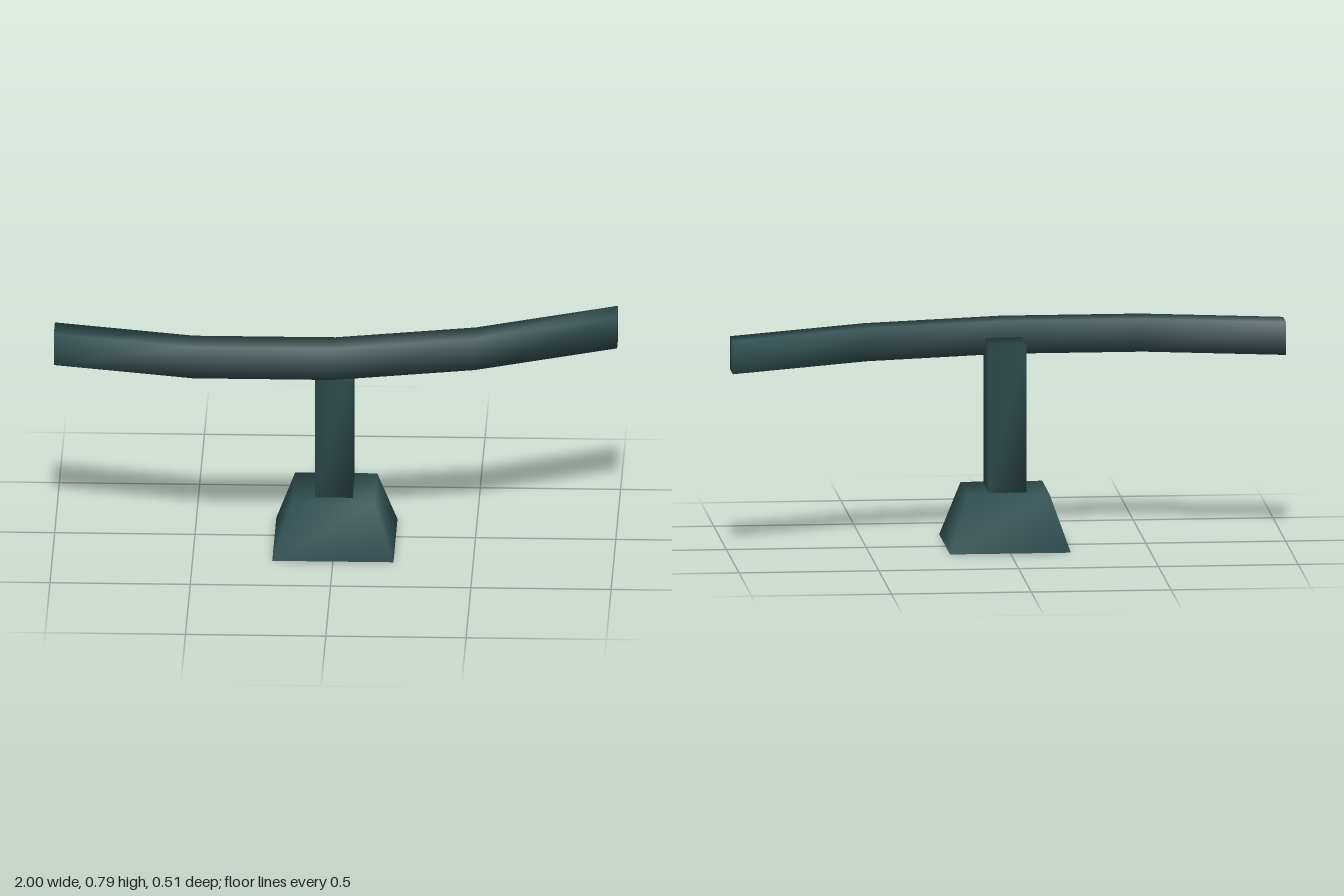
import * as THREE from 'three';
import { mergeVertices } from 'three/addons/utils/BufferGeometryUtils.js';

// Box whose vertices are moved by a rule, with normals shared round its corners
function softBox(w, h, d, segX, move, dropBottom = false) {
  const geo = new THREE.BoxGeometry(w, h, d, segX, 1, 1);
  const pos = geo.attributes.position;
  const v = new THREE.Vector3();
  for (let i = 0; i < pos.count; i++) {
    v.fromBufferAttribute(pos, i);
    if (move) move(v);
    pos.setXYZ(i, v.x, v.y, v.z);
  }
  if (dropBottom) {
    const { start, count } = geo.groups[3];
    const index = Array.from(geo.index.array);
    index.splice(start, count);
    geo.setIndex(index);
  }
  geo.clearGroups();
  geo.deleteAttribute('normal');
  geo.deleteAttribute('uv');
  const merged = mergeVertices(geo, 1e-4);
  merged.computeVertexNormals();
  return merged;
}

export function createModel() {
  const group = new THREE.Group();
  group.name = 'curvedRailOnPost';

  const slate = new THREE.MeshStandardMaterial({ color: 0x2f4f4f, side: THREE.DoubleSide });
  slate.name = 'darkSlate';
  const white = new THREE.MeshStandardMaterial({ color: 0xffffff });
  white.name = 'white';

  const add = (name, geo, mat, x, y, z) => {
    const mesh = new THREE.Mesh(geo, mat);
    mesh.name = name;
    mesh.position.set(x, y, z);
    group.add(mesh);
  };

  // Rail: four straight spans, bent backward toward the ends
  const bend = [0.038, 0.154, 0.154, 0.038, -0.196];
  const rail = softBox(2, 0.118, 0.117, 4, (v) => {
    v.z += bend[Math.round((v.x + 1) * 2)];
  });
  add('rail', rail, slate, 0, 0.735, 0);

  // Post, ending halfway up the rail
  add('post', softBox(0.134, 0.535, 0.2, 1), slate, 0, 0.4675, 0.04);

  // Flared foot, open underneath
  const foot = softBox(0.432, 0.2, 0.432, 1, (v) => {
    if (v.y > 0) { v.x *= 0.677; v.z *= 0.677; }
  }, true);
  add('foot', foot, slate, 0, 0.1, 0.039);

  // Pale core inside the foot
  add('footCore', softBox(0.29, 0.19, 0.29, 1), white, 0, 0.096, 0.039);

  return group;
}
